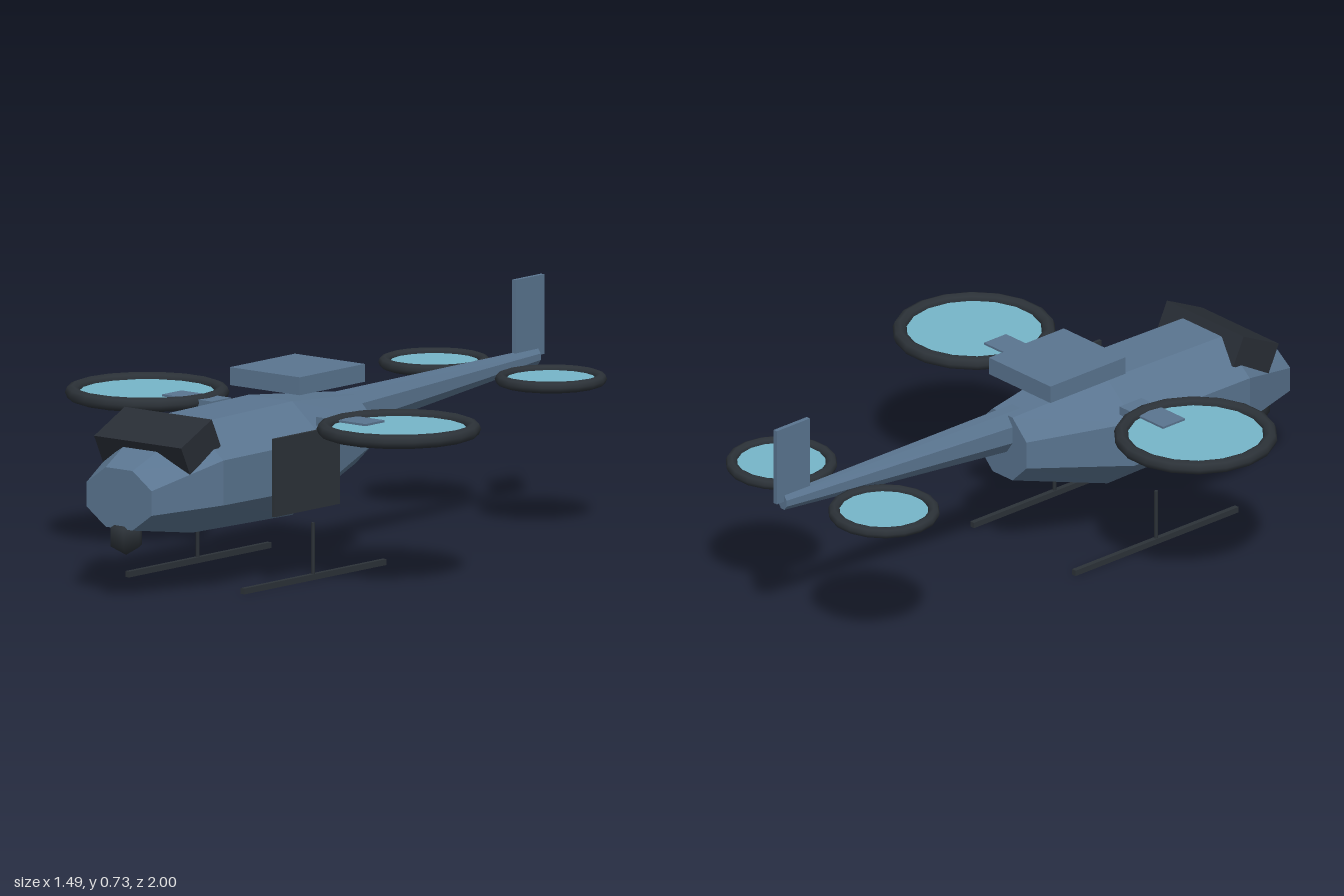
import * as THREE from 'three';

const mat = (name, color) => {
  const m = new THREE.MeshStandardMaterial({ color });
  m.name = name;
  return m;
};

// Octagonal hull through stations [z, half width, bottom y, top y], front to back
function loft(stations) {
  const sides = 8, k = 1 / Math.cos(Math.PI / sides);
  const rings = stations.map(([z, w, y0, y1]) => {
    const ring = [];
    for (let i = 0; i < sides; i++) {
      const a = ((i + 0.5) / sides) * Math.PI * 2;
      ring.push([Math.cos(a) * w * k, (y0 + y1) / 2 + Math.sin(a) * (y1 - y0) / 2 * k, z]);
    }
    return ring;
  });
  const pos = [];
  const tri = (a, b, c) => pos.push(...a, ...b, ...c);
  const last = rings[rings.length - 1];
  for (let i = 0; i < sides; i++) {
    const j = (i + 1) % sides;
    for (let s = 0; s < rings.length - 1; s++) {
      const f = rings[s], b = rings[s + 1];
      tri(f[i], b[i], f[j]);
      tri(f[j], b[i], b[j]);
    }
    if (i > 0 && j > 0) {
      tri(rings[0][0], rings[0][i], rings[0][j]);
      tri(last[0], last[j], last[i]);
    }
  }
  const g = new THREE.BufferGeometry();
  g.setAttribute('position', new THREE.Float32BufferAttribute(pos, 3));
  g.computeVertexNormals();
  return g;
}

export function createModel() {
  const model = new THREE.Group();
  model.name = 'rotorcraft';
  const hull = mat('slate blue', 0x5a7590);
  const dark = mat('charcoal', 0x2c3238);
  const glass = mat('dark glass', 0x282d35);
  const blur = mat('rotor cyan', 0x76b5c8);
  blur.side = THREE.DoubleSide;

  const add = (name, geometry, material, x = 0, y = 0, z = 0, parent = model) => {
    const m = new THREE.Mesh(geometry, material);
    m.name = name;
    m.position.set(x, y, z);
    parent.add(m);
    return m;
  };
  const box = (w, h, d) => new THREE.BoxGeometry(w, h, d);

  // Fuselage and tail
  add('fuselage', loft([
    [0.99, 0.128, 0.217, 0.4],
    [0.75, 0.21, 0.182, 0.515],
    [0.28, 0.21, 0.173, 0.522],
    [-0.07, 0.107, 0.28, 0.49],
  ]), hull);
  add('tailBoom', loft([
    [0, 0.047, 0.36, 0.495],
    [-0.97, 0.018, 0.457, 0.505],
  ]), hull);
  add('tailFin', box(0.014, 0.245, 0.135), hull, 0, 0.607, -0.9325);
  add('roofPlate', box(0.276, 0.055, 0.306), hull, 0, 0.577, 0.153);

  // Tilted canopy, chin sensor and the door on the left side
  add('canopy', box(0.344, 0.097, 0.16), glass, 0, 0.462, 0.81).rotation.x = 0.45;
  add('chinSensor', new THREE.SphereGeometry(0.058, 6, 3), dark, 0, 0.19, 0.957);
  add('sideDoor', box(0.01, 0.24, 0.306), dark, 0.232, 0.338, 0.388);

  // Ducted rotor: ring with a thin disc inside
  const rotor = (name, x, y, z, R, r) => {
    const g = new THREE.Group();
    g.name = name;
    g.position.set(x, y, z);
    add('rotorRing', new THREE.TorusGeometry(R, r, 8, 18).rotateX(Math.PI / 2), dark, 0, 0, 0, g);
    add('rotorDisc', new THREE.CylinderGeometry(R - r + 0.003, R - r + 0.003, 0.006, 24), blur, 0, 0, 0, g);
    model.add(g);
  };

  for (const [side, s] of [['left', 1], ['right', -1]]) {
    rotor(side + 'FrontRotor', s * 0.497, 0.482, 0.267, 0.227, 0.022);
    rotor(side + 'RearRotor', s * 0.23, 0.465, -0.765, 0.152, 0.018);
    add(side + 'Pylon', box(0.195, 0.027, 0.09), hull, s * 0.304, 0.478, 0.265);
    // Landing gear
    add(side + 'Skid', box(0.016, 0.018, 0.667), dark, s * 0.228, 0.009, 0.347);
    add(side + 'SkidPost', new THREE.CylinderGeometry(0.006, 0.006, 0.16, 6), dark, s * 0.228, 0.095, 0.35);
  }
  return model;
}
